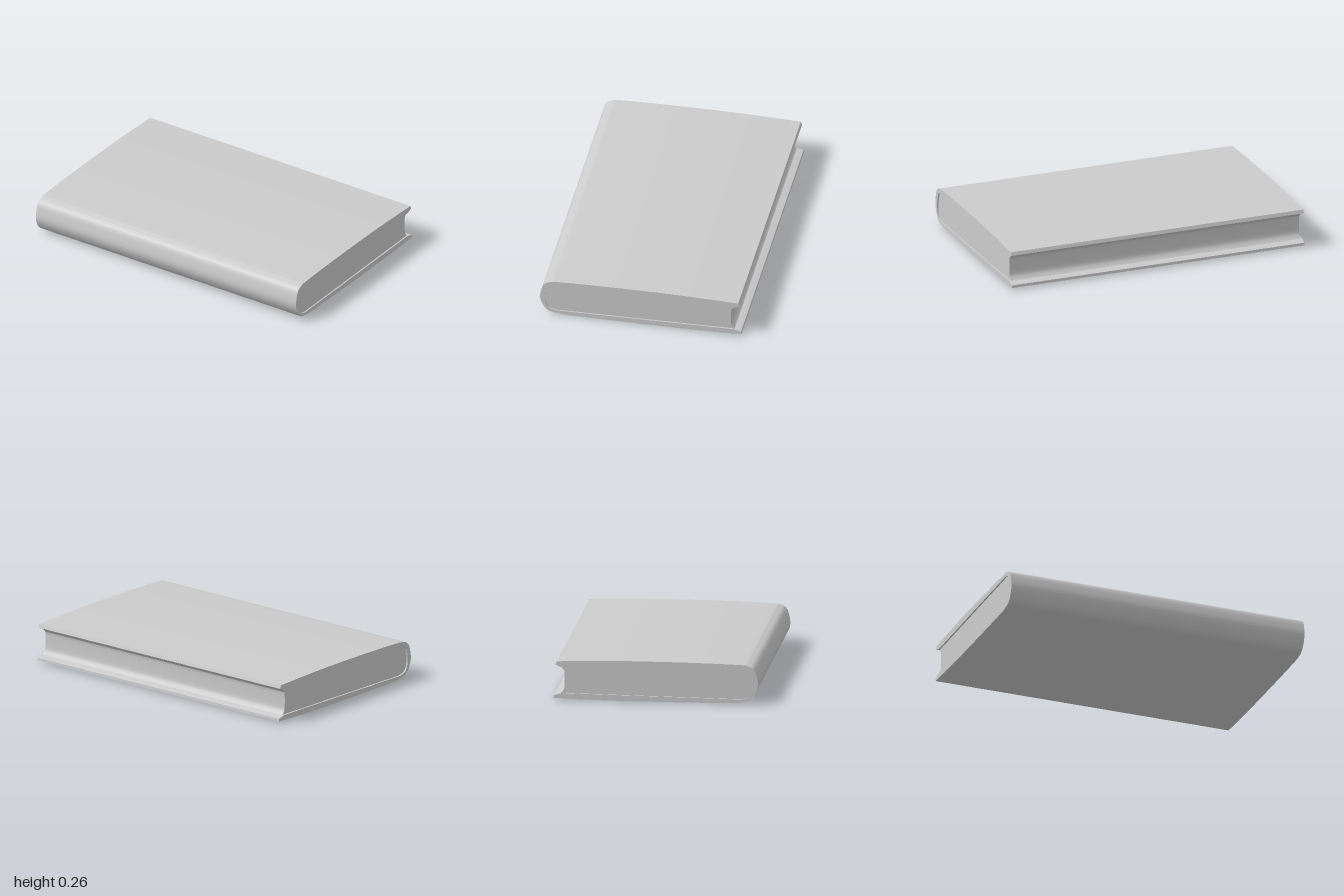
import * as THREE from 'three';
import { toCreasedNormals } from 'three/addons/utils/BufferGeometryUtils.js';

const vec = (points) => points.map(([z, y]) => new THREE.Vector2(z, y));

// Extrudes a (z, y) cross-section along x, centred, with soft curves and sharp edges.
function extrudeAlongX(shape, length, name) {
  const geometry = new THREE.ExtrudeGeometry(shape, {
    depth: length, bevelEnabled: false, curveSegments: 8,
  });
  geometry.translate(0, 0, -length / 2);
  geometry.rotateY(-Math.PI / 2);
  const material = new THREE.MeshStandardMaterial({ color: 0xcccccc });
  const mesh = new THREE.Mesh(toCreasedNormals(geometry, 0.6), material);
  mesh.name = name;
  return mesh;
}

// Wraparound cover: two boards joined by a rounded spine at the front.
function makeCover() {
  const s = new THREE.Shape();
  s.moveTo(-0.65, 0.015);
  s.splineThru(vec([[-0.4, 0.006], [0, 0.002], [0.45, 0.003], [0.53, 0.008], [0.59, 0.022],
    [0.625, 0.06], [0.645, 0.115], [0.638, 0.175], [0.62, 0.22], [0.585, 0.241],
    [0.52, 0.25], [0.2, 0.258], [-0.2, 0.26], [-0.45, 0.255], [-0.63, 0.25]]));
  s.lineTo(-0.638, 0.228);
  s.lineTo(-0.6, 0.212);
  s.lineTo(0.54, 0.225);
  s.splineThru(vec([[0.595, 0.2], [0.615, 0.12], [0.595, 0.05], [0.54, 0.028]]));
  s.lineTo(-0.6, 0.046);
  s.lineTo(-0.648, 0.032);
  return extrudeAlongX(s, 1.99, 'cover');
}

// Page block with a hollow fore-edge, slightly shorter than the cover.
function makePages() {
  const s = new THREE.Shape();
  s.moveTo(-0.61, 0.04);
  s.splineThru(vec([[-0.592, 0.06], [-0.582, 0.09], [-0.582, 0.18], [-0.592, 0.2], [-0.61, 0.218]]));
  s.lineTo(0.54, 0.23);
  s.splineThru(vec([[0.6, 0.2], [0.62, 0.12], [0.6, 0.05], [0.54, 0.022]]));
  return extrudeAlongX(s, 1.97, 'pages');
}

export function createModel() {
  const book = new THREE.Group();
  book.name = 'book';
  book.add(makeCover(), makePages());
  return book;
}
